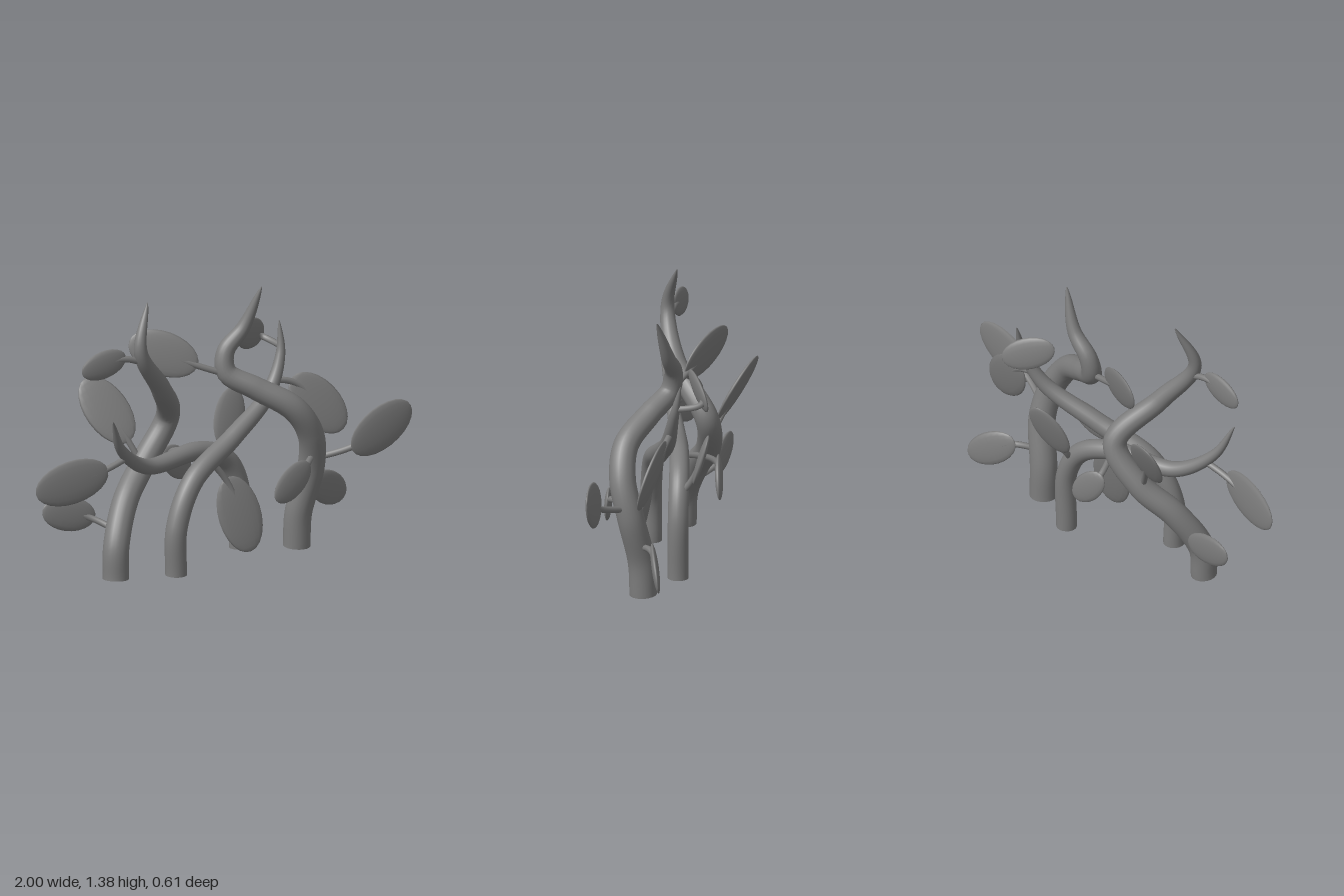
import * as THREE from 'three';

const V = (x, y, z) => new THREE.Vector3(x, y, z);
const material = new THREE.MeshStandardMaterial({ color: 0x7c7c7c });

function add(parent, name, geometry) {
  const mesh = new THREE.Mesh(geometry, material);
  mesh.name = name;
  parent.add(mesh);
  return mesh;
}

// Round branch that narrows to a point, closed by a disc at the foot
function addBranch(parent, curve, radius) {
  const rings = 72, sides = 20;
  const geometry = new THREE.TubeGeometry(curve, rings, 1, sides);
  const pos = geometry.attributes.position;
  const v = V(0, 0, 0);
  for (let k = 0; k < pos.count; k++) {
    const t = Math.floor(k / (sides + 1)) / rings;
    const centre = curve.getPointAt(t);
    const r = radius * Math.max(0.04, Math.pow(1 - t ** 3, 0.65));
    v.fromBufferAttribute(pos, k).sub(centre).multiplyScalar(r).add(centre);
    pos.setXYZ(k, v.x, v.y, v.z);
  }
  add(parent, 'branch', geometry);
  const foot = add(parent, 'branchFoot', new THREE.CircleGeometry(radius, sides));
  foot.position.copy(curve.getPointAt(0));
  foot.quaternion.setFromUnitVectors(V(0, 0, 1), curve.getTangentAt(0).negate());
}

// Flat oval leaf; its thin stalk leaves the branch just below the nearest point
function addLeaf(parent, curve, base, tip) {
  const along = tip.clone().sub(base);
  const half = along.length() / 2;
  along.normalize();
  const side = V(0, 0, 1).cross(along).normalize();
  const normal = side.clone().cross(along);

  const blade = add(parent, 'leaf', new THREE.SphereGeometry(1, 16, 12));
  blade.scale.set(half * 0.6, half, 0.018);
  blade.quaternion.setFromRotationMatrix(new THREE.Matrix4().makeBasis(side, along, normal));
  blade.position.lerpVectors(base, tip, 0.5);

  const steps = 60;
  const spots = curve.getSpacedPoints(steps);
  const distances = spots.map((p) => p.distanceTo(base));
  const nearest = distances.indexOf(Math.min(...distances));
  const start = spots[nearest - 2];
  const inside = base.clone().lerp(tip, 0.28);
  const path = new THREE.QuadraticBezierCurve3(start, base, inside);
  add(parent, 'stalk', new THREE.TubeGeometry(path, 16, 0.016, 8));
}

// A branch along its path, with leaves given as base and tip
function makeLimb(name, radius, path, leaves) {
  const limb = new THREE.Group();
  limb.name = name;
  const curve = new THREE.CatmullRomCurve3(path);
  addBranch(limb, curve, radius);
  for (const [base, tip] of leaves) addLeaf(limb, curve, base, tip);
  return limb;
}

export function createModel() {
  const model = new THREE.Group();
  model.name = 'leafyBranches';

  model.add(makeLimb('rightLimb', 0.064, [
    V(-0.56, 0.005, 0.07), V(-0.55, 0.17, 0.06), V(-0.45, 0.36, -0.02), V(-0.3, 0.505, -0.1),
    V(-0.155, 0.71, -0.115), V(-0.3, 0.93, 0.06), V(-0.455, 1.16, 0.13), V(-0.38, 1.38, 0.07),
  ], [
    [V(-0.53, 1.145, 0.115), V(-0.76, 1.085, 0.085)],
    [V(-0.585, 0.28, -0.08), V(-0.86, 0.35, -0.12)],
    [V(-0.36, 0.615, -0.13), V(-0.51, 0.91, -0.305)],
  ]));

  model.add(makeLimb('frontLimb', 0.053, [
    V(-0.285, 0.01, 0.18), V(-0.28, 0.25, 0.18), V(-0.17, 0.46, 0.15),
    V(0.1, 0.61, 0.07), V(0.36, 0.77, -0.02), V(0.455, 0.94, -0.065), V(0.47, 1.1, -0.1),
  ], [
    [V(0.045, 0.435, 0.12), V(0.13, 0.065, 0.2)],
    [V(0.455, 0.99, -0.23), V(0.235, 1.085, -0.1)],
    [V(0.505, 0.825, -0.035), V(0.735, 0.55, 0.065)],
  ]));

  model.add(makeLimb('lowLimb', 0.051, [
    V(0.207, 0.01, -0.04), V(0.203, 0.33, -0.04), V(0.12, 0.48, -0.03), V(-0.05, 0.55, 0),
    V(-0.38, 0.545, 0.07), V(-0.57, 0.68, 0.14), V(-0.65, 0.85, 0.195),
  ], [
    [V(-0.645, 0.59, 0.14), V(-1, 0.5, 0.05)],
    [V(-0.13, 0.53, -0.18), V(0.02, 0.355, -0.21)],
    [V(0.16, 0.5, -0.11), V(0.28, 0.765, -0.2)],
  ]));

  model.add(makeLimb('leftLimb', 0.067, [
    V(0.455, 0.01, 0.087), V(0.46, 0.18, 0.095), V(0.505, 0.42, 0.14), V(0.475, 0.6, 0.185),
    V(0.38, 0.745, 0.185), V(0.22, 0.85, 0.1), V(0.1, 0.93, 0.02), V(0.105, 1.03, 0),
    V(0.2, 1.14, 0.01), V(0.28, 1.345, 0.05),
  ], [
    [V(-0.035, 0.97, -0.03), V(-0.325, 1.105, -0.19)],
    [V(0.415, 0.485, 0.27), V(0.21, 0.335, 0.3)],
    [V(0.665, 0.505, 0.26), V(0.99, 0.685, 0.27)],
    [V(0.58, 0.31, 0.02), V(0.81, 0.165, -0.05)],
  ]));

  return model;
}
